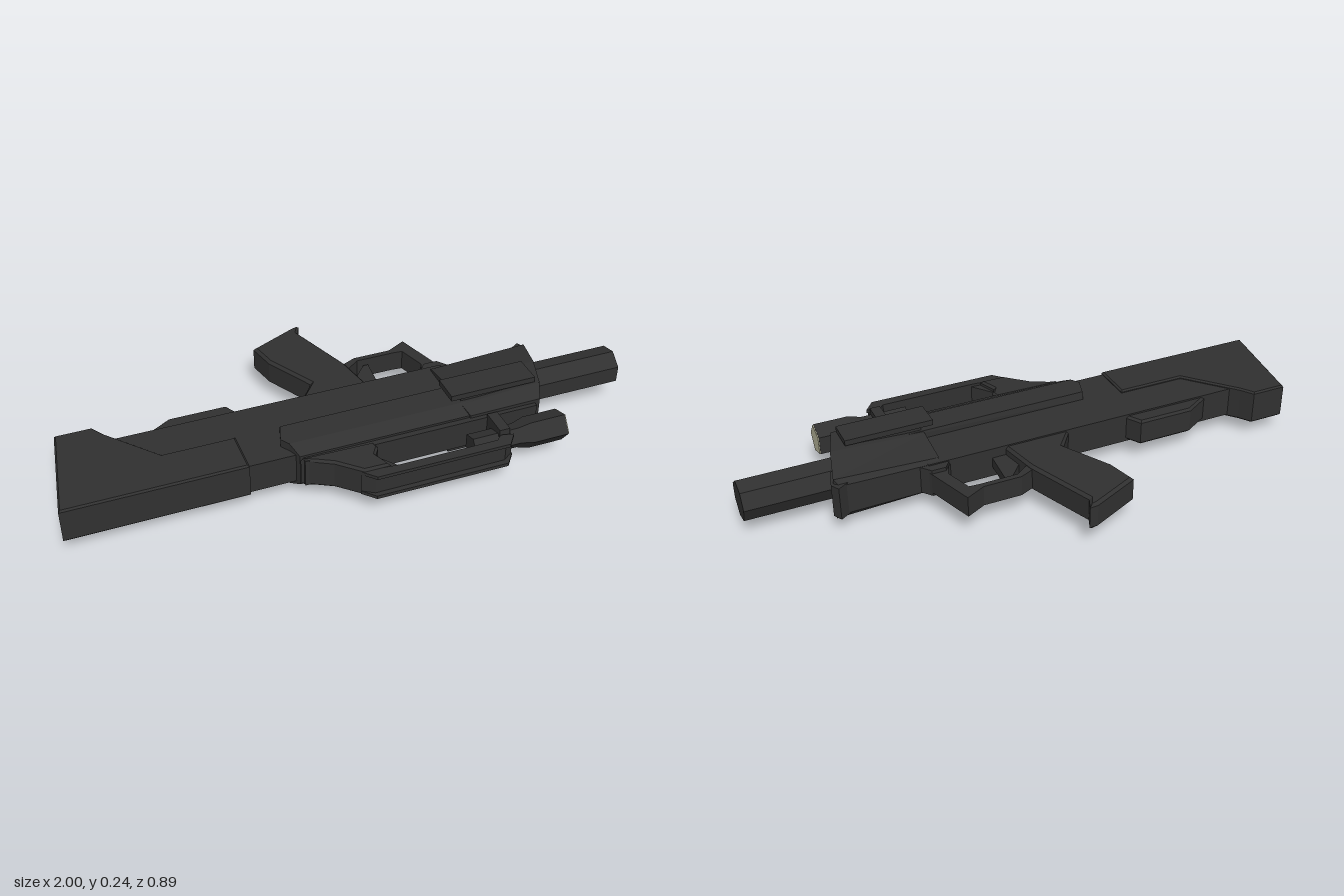
import * as THREE from 'three';

const MID = 0.118; // height of the mirror plane the model lies on

export function createModel() {
  const group = new THREE.Group();
  const gunmetal = new THREE.MeshStandardMaterial({ color: 0x303030 });
  gunmetal.name = 'gunmetal';
  const glass = new THREE.MeshStandardMaterial({ color: 0xb8b69c });
  glass.name = 'lens glass';

  const add = (name, geo, mat = gunmetal) => {
    const g = geo.index ? geo.toNonIndexed() : geo;
    g.computeVertexNormals();
    const mesh = new THREE.Mesh(g, mat);
    mesh.name = name;
    group.add(mesh);
    return mesh;
  };

  // flat outline in (x, z), extruded evenly about the mirror plane
  const plate = (name, pts, half, bevel = 0, y = MID) => {
    const shape = new THREE.Shape(pts.map(([x, z]) => new THREE.Vector2(x, z)));
    const depth = 2 * (half - bevel);
    const geo = new THREE.ExtrudeGeometry(shape, {
      depth, bevelEnabled: bevel > 0, bevelSize: bevel, bevelThickness: bevel,
      bevelOffset: -bevel, bevelSegments: 1,
    });
    geo.translate(0, 0, -depth / 2).rotateX(Math.PI / 2).translate(0, y, 0);
    return add(name, geo);
  };

  // stacked four-cornered layers: [z, xRear, xFront, halfRear, halfFront]
  const loft = (name, layers) => {
    const rings = layers.map(([z, x0, x1, h0, h1]) => [
      [x0, MID - h0, z], [x1, MID - h1, z], [x1, MID + h1, z], [x0, MID + h0, z]]);
    const pos = [];
    const quad = (a, b, c, d) => pos.push(...a, ...b, ...c, ...a, ...c, ...d);
    for (let k = 0; k < rings.length - 1; k++) {
      const a = rings[k], b = rings[k + 1];
      for (let i = 0; i < 4; i++) {
        const j = (i + 1) % 4;
        quad(a[i], a[j], b[j], b[i]);
      }
    }
    const [p, q, r, s] = rings[0];
    quad(s, r, q, p);
    quad(...rings[rings.length - 1]);
    const geo = new THREE.BufferGeometry();
    geo.setAttribute('position', new THREE.Float32BufferAttribute(pos, 3));
    return add(name, geo);
  };

  // tube along x between two ends
  const tube = (name, x0, x1, r0, r1, z, sides, start = 0, mat = gunmetal) => {
    const geo = new THREE.CylinderGeometry(r1, r0, x1 - x0, sides, 1, false, start);
    geo.rotateZ(-Math.PI / 2).translate((x0 + x1) / 2, MID, z);
    return add(name, geo, mat);
  };

  const box = (name, x0, x1, y0, y1, z0, z1) => {
    const geo = new THREE.BoxGeometry(x1 - x0, y1 - y0, z1 - z0);
    geo.translate((x0 + x1) / 2, (y0 + y1) / 2, (z0 + z1) / 2);
    return add(name, geo);
  };

  // stock and receiver
  plate('stock', [[-1, 0.265], [-0.945, -0.105], [-0.82, -0.105], [-0.79, -0.06],
    [-0.64, 0.11], [-0.395, 0.11], [-0.395, 0.265]], 0.063, 0.006);
  plate('receiver', [[-0.84, -0.08], [-0.77, -0.03], [0.4, -0.03], [0.4, 0.258],
    [-0.6, 0.258], [-0.84, 0.1]], 0.054);
  plate('underBlock', [[-0.67, -0.02], [-0.65, -0.035], [-0.57, -0.082], [-0.37, -0.082],
    [-0.34, -0.03], [-0.34, -0.02]], 0.048, 0.008);
  loft('sidePanels', [
    [0.13, -0.25, 0.62, 0.055, 0.083], [0.135, -0.25, 0.62, 0.083, 0.083],
    [0.2, -0.27, 0.62, 0.083, 0.083], [0.23, -0.25, 0.62, 0.083, 0.083],
    [0.275, -0.23, 0.61, 0.058, 0.058]]);

  // front housing with its raised lip
  loft('frontHousing', [
    [-0.025, 0.36, 0.7, 0.05, 0.055], [-0.01, 0.355, 0.717, 0.06, 0.076],
    [0.12, 0.355, 0.685, 0.08, 0.097], [0.235, 0.355, 0.647, 0.08, 0.096],
    [0.28, 0.37, 0.628, 0.06, 0.062]]);
  plate('frontLip', [[0.65, 0], [0.67, -0.02], [0.71, -0.045], [0.727, -0.015],
    [0.705, 0.06], [0.65, 0.06]], 0.06);
  tube('barrel', 0.55, 1, 0.069, 0.069, 0.116, 7, Math.PI);

  // accessory rails on both sides
  for (const s of [-1, 1]) {
    const pair = (a, b) => [MID + s * a, MID + s * b].sort((m, n) => m - n);
    box('sideRail', 0.32, 0.63, ...pair(0.098, 0.118), 0.13, 0.23);
    box('railSpacer', 0.36, 0.6, ...pair(0.06, 0.1), 0.14, 0.22);
  }

  // grip, trigger and guard
  plate('grip', [[-0.18, -0.37], [-0.01, -0.448], [0.02, -0.45], [0.003, -0.41],
    [0.095, -0.17], [0.125, -0.02], [-0.12, -0.02], [-0.06, -0.1], [-0.155, -0.27]],
  0.049, 0.01);
  plate('trigger', [[0.1, -0.02], [0.105, -0.1], [0.165, -0.168], [0.183, -0.168],
    [0.172, -0.02]], 0.018);
  plate('triggerGuard', [[0.08, -0.17], [0.14, -0.197], [0.275, -0.197], [0.345, -0.233],
    [0.402, -0.06], [0.43, -0.01], [0.3, -0.01], [0.335, -0.04], [0.35, -0.08],
    [0.318, -0.175], [0.285, -0.178], [0.145, -0.178], [0.1, -0.145]], 0.037);
  plate('guardBase', [[0.32, -0.02], [0.35, -0.06], [0.4, -0.06], [0.44, -0.01]], 0.05);

  // carrying handle
  box('topStrip', -0.22, 0.61, MID - 0.05, MID + 0.05, 0.27, 0.295);
  plate('handleRearPost', [[-0.23, 0.28], [-0.19, 0.305], [-0.135, 0.335], [-0.06, 0.405],
    [0.03, 0.405], [0.005, 0.34], [0.025, 0.31], [0.02, 0.28]], 0.054, 0.008);
  plate('handleBar', [[-0.07, 0.4], [-0.03, 0.425], [0.43, 0.425], [0.465, 0.4], [0.46, 0.28],
    [0.425, 0.28], [0.425, 0.39], [0.405, 0.41], [0.065, 0.41], [0.01, 0.34]], 0.036);
  for (const s of [-1, 1]) {
    plate('handleEdge', [[-0.07, 0.4], [-0.03, 0.442], [0.435, 0.445], [0.47, 0.4],
      [0.425, 0.39], [0.405, 0.41], [0.06, 0.41]], 0.006, 0, MID + s * 0.04);
  }

  // lamp under the handle
  tube('lampBody', 0.335, 0.5, 0.043, 0.043, 0.36, 5);
  tube('lampNeck', 0.5, 0.545, 0.043, 0.056, 0.36, 5);
  tube('lampHead', 0.545, 0.67, 0.056, 0.056, 0.36, 5);
  tube('lampLens', 0.668, 0.673, 0.054, 0.054, 0.36, 5, 0, glass);
  box('lampMount', 0.425, 0.462, MID - 0.06, MID + 0.06, 0.29, 0.385);

  return group;
}
